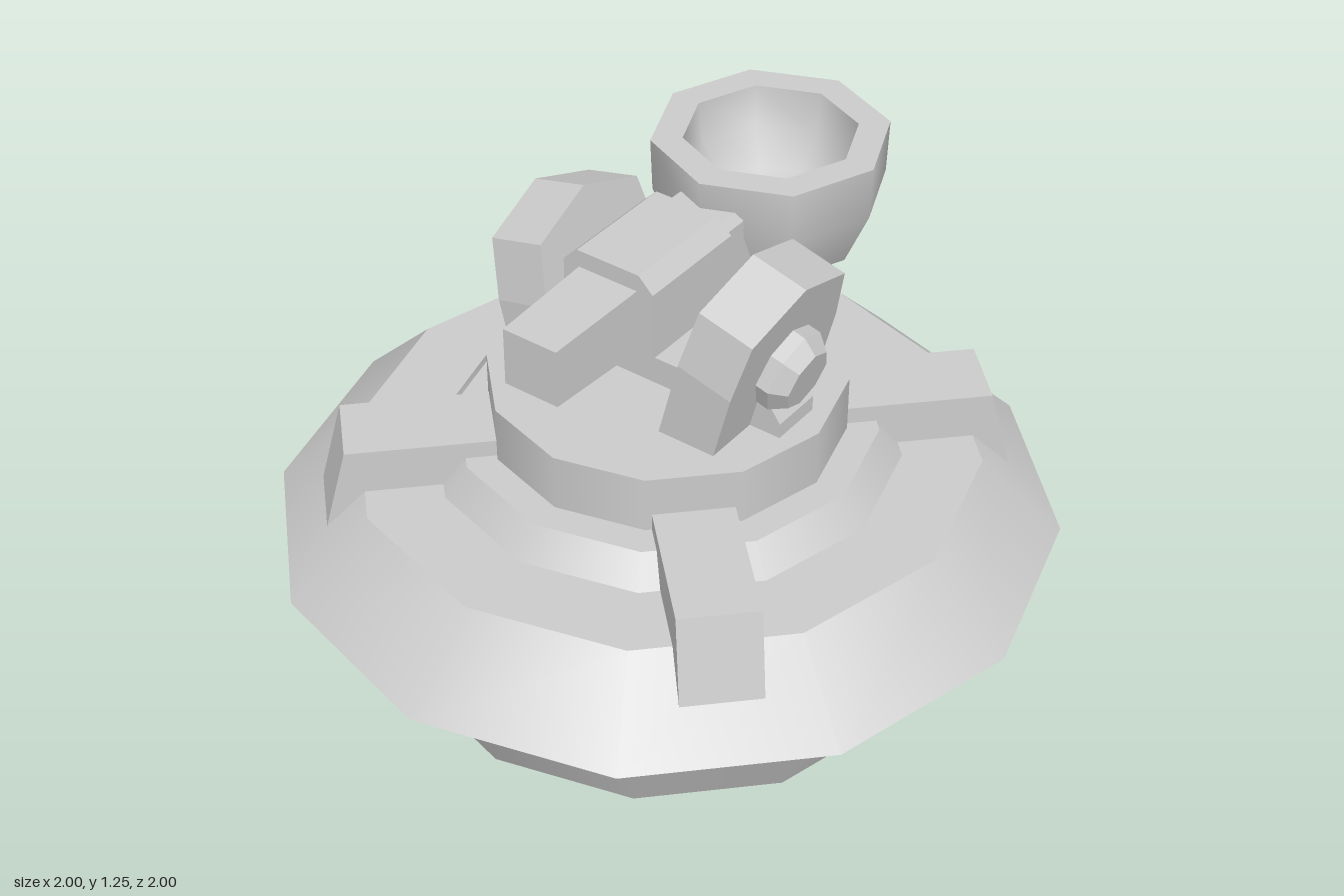
import * as THREE from 'three';

const material = new THREE.MeshStandardMaterial({ color: 0xcccccc });

function add(parent, name, geometry, x = 0, y = 0, z = 0) {
  const mesh = new THREE.Mesh(geometry, material);
  mesh.name = name;
  mesh.position.set(x, y, z);
  parent.add(mesh);
  return mesh;
}

// Extrusion of a polygon along +z
function prism(points, depth) {
  const shape = new THREE.Shape(points.map(([x, y]) => new THREE.Vector2(x, y)));
  return new THREE.ExtrudeGeometry(shape, { depth, bevelEnabled: false });
}

// Rectangle with cut corners, centred on the origin
function cutRect(w, h, c) {
  return [[-w + c, -h], [w - c, -h], [w, -h + c], [w, h - c], [w - c, h], [-w + c, h], [-w, h - c], [-w, -h + c]];
}

export function createModel() {
  const model = new THREE.Group();
  model.name = 'turret';

  // Twelve-sided base tiers: bottom y, top y, bottom radius, top radius, open
  const tiers = [
    ['foot', 0, 0.165, 0.71, 0.79, false],
    ['lowerHull', 0.165, 0.36, 0.79, 1, true],
    ['upperHull', 0.36, 0.56, 1, 0.79, false],
    ['stepRing', 0.56, 0.635, 0.59, 0.53, false],
    ['turntable', 0.635, 0.785, 0.45, 0.45, false],
  ];
  for (const [name, y0, y1, r0, r1, open] of tiers) {
    add(model, name, new THREE.CylinderGeometry(r1, r0, y1 - y0, 12, 1, open), 0, (y0 + y1) / 2, 0);
  }

  // Four diagonal braces clamped over the hull
  const braceProfile = [[0.36, 0.5], [0.76, 0.46], [0.863, 0.46], [0.806, 0.68], [0.36, 0.68]];
  for (let i = 0; i < 4; i++) {
    const brace = new THREE.Group();
    brace.name = 'brace';
    brace.rotation.y = Math.PI / 4 + i * Math.PI / 2;
    add(brace, 'braceBlock', prism(braceProfile, 0.2), 0, 0, -0.1);
    model.add(brace);
  }

  // Cross bar lying on the turntable
  const bar = [[-0.385, 0.77], [0.385, 0.77], [0.385, 0.825], [0.36, 0.86], [-0.36, 0.86], [-0.385, 0.825]];
  add(model, 'crossBar', prism(bar, 0.14), 0, 0, -0.07);

  // Leaning side arms with pivot bolts
  const armProfile = [[-0.22, -0.02], [0.22, -0.02], [0.22, 0.22], [0.19, 0.375], [0, 0.442], [-0.19, 0.375], [-0.22, 0.22]];
  for (const turn of [0, Math.PI]) {
    const side = new THREE.Group();
    side.name = turn ? 'rightArm' : 'leftArm';
    side.rotation.y = turn;
    const lean = new THREE.Group();
    lean.name = 'leaningArm';
    lean.position.set(0.14, 0.79, 0);
    lean.rotation.z = -0.25;
    add(lean, 'armPlate', prism(armProfile, 0.155).rotateY(Math.PI / 2));
    const bolt = (r0, r1, len) => new THREE.CylinderGeometry(r1, r0, len, 8).toNonIndexed().rotateZ(-Math.PI / 2);
    const collar = bolt(0.11, 0.11, 0.04);
    const head = bolt(0.11, 0.08, 0.04);
    for (const g of [collar, head]) g.computeVertexNormals();
    add(lean, 'boltCollar', collar, 0.17, 0.2, 0);
    add(lean, 'boltHead', head, 0.21, 0.2, 0);
    side.add(lean);
    model.add(side);
  }

  // Gun body with cut corners, rear neck and tapered square barrel
  add(model, 'gunBody', prism(cutRect(0.13, 0.13, 0.04), 0.31), 0, 1.09, -0.08);
  add(model, 'gunNeck', prism(cutRect(0.1, 0.09, 0.02), 0.16), 0, 1.09, -0.22);
  const barrel = new THREE.BoxGeometry(0.17, 0.17, 0.3);
  const p = barrel.attributes.position;
  for (let i = 0; i < p.count; i++) {
    if (p.getZ(i) > 0) p.setXY(i, p.getX(i) * 0.9, p.getY(i) * 0.9);
  }
  barrel.computeVertexNormals();
  add(model, 'barrel', barrel, 0, 1.09, 0.37);

  // Eight-sided hopper bowl at the rear
  const lathe = (pts) => new THREE.LatheGeometry(pts.map(([r, y]) => new THREE.Vector2(r, y)), 8);
  const bowl = new THREE.Group();
  bowl.name = 'bowl';
  bowl.position.z = -0.43;
  add(bowl, 'bowlBottom', lathe([[0, 0.96], [0.23, 0.96]]));
  add(bowl, 'bowlOuter', lathe([[0.23, 0.96], [0.295, 1.11], [0.3, 1.25]]));
  add(bowl, 'bowlRim', lathe([[0.3, 1.25], [0.22, 1.25]]));
  add(bowl, 'bowlInner', lathe([[0.22, 1.25], [0.205, 1.14], [0.14, 1.06], [0, 1.03]]));
  model.add(bowl);

  return model;
}
